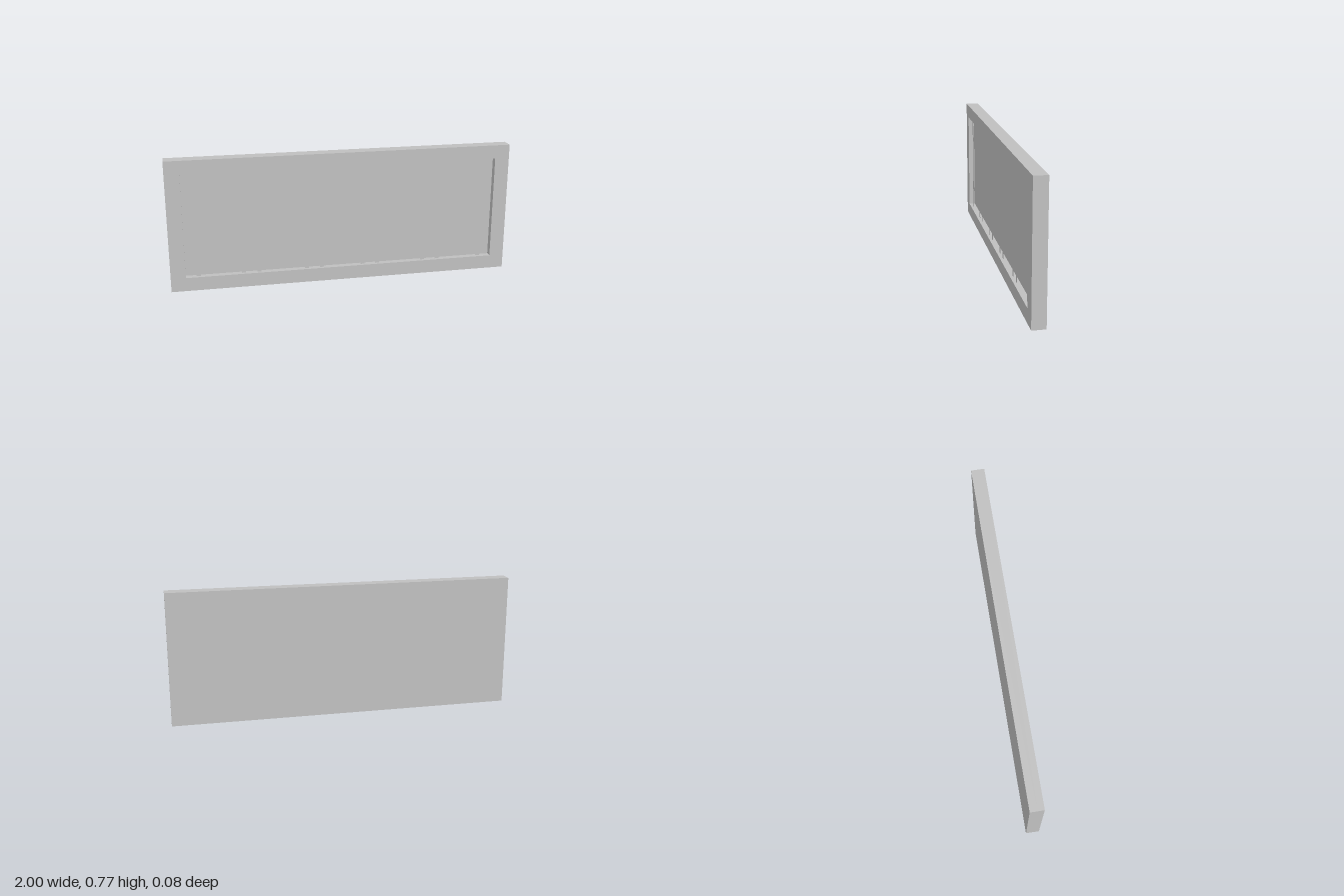
import * as THREE from 'three';

const W = 2, H = 0.77, D = 0.077;   // panel size
const OX = 0.915, OY = 0.305;       // half size of the recess
const FLOOR = 0.002, LATTICE = 0.021; // z of the recess floor and of the lattice

// Closed rectangle path
function rect(path, x0, x1, y0, y1) {
  path.moveTo(x0, y0);
  path.lineTo(x1, y0);
  path.lineTo(x1, y1);
  path.lineTo(x0, y1);
  path.closePath();
  return path;
}

// Lattice openings on the right-hand side, as [x0, x1] per row
const outer = [[0.225, 0.48], [0.505, 0.57], [0.595, 0.83]];
const inner = [[0.06, 0.11], [0.225, 0.29], [0.32, 0.385], [0.41, 0.48], [0.505, 0.57], [0.595, 0.74]];
const middle = [[0.06, 0.29], [0.32, 0.385], [0.41, 0.74]];

function latticeShape() {
  const shape = rect(new THREE.Shape(), -0.855, 0.855, -OY - 0.004, OY + 0.004);
  const hole = (x0, x1, y0, y1) => shape.holes.push(rect(new THREE.Path(), x0, x1, y0, y1));
  const mirrorX = (x0, x1, y0, y1) => {
    hole(x0, x1, y0, y1);
    hole(-x1, -x0, y0, y1);
  };
  const mirrorXY = (x0, x1, y0, y1) => {
    mirrorX(x0, x1, y0, y1);
    mirrorX(x0, x1, -y1, -y0);
  };
  outer.forEach(([a, b]) => mirrorXY(a, b, 0.185, OY));
  inner.forEach(([a, b]) => mirrorXY(a, b, 0.06, 0.16));
  middle.forEach(([a, b]) => mirrorX(a, b, -0.033, 0.033));
  mirrorXY(0.135, 0.2, 0.06, OY);       // tall slots from top and bottom
  mirrorX(0.765, 0.83, -0.16, 0.16);    // tall slots at the ends
  hole(-0.035, 0.035, -0.16, 0.16);     // centre slot
  hole(-0.11, 0.11, 0.185, OY);         // top and bottom centre openings
  hole(-0.11, 0.11, -OY, -0.185);
  return shape;
}

export function createModel() {
  const group = new THREE.Group();
  group.name = 'latticePanel';
  const grey = new THREE.MeshStandardMaterial({ color: 0xc0c0c0, side: THREE.DoubleSide });
  grey.name = 'light grey';
  const add = (name, geometry, z) => {
    const mesh = new THREE.Mesh(geometry, grey);
    mesh.name = name;
    mesh.position.set(0, H / 2, z);
    group.add(mesh);
  };

  // Solid back, whose front is the recess floor
  const backDepth = FLOOR + D / 2;
  add('backPanel', new THREE.BoxGeometry(W, H, backDepth), FLOOR - backDepth / 2);

  // Raised border around the recess
  const border = rect(new THREE.Shape(), -W / 2, W / 2, -H / 2, H / 2);
  border.holes.push(rect(new THREE.Path(), -OX, OX, -OY, OY));
  add('frame', new THREE.ExtrudeGeometry(border, { depth: D / 2 - FLOOR, bevelEnabled: false }), FLOOR);

  // Thin lattice sheet standing off the floor
  add('lattice', new THREE.ShapeGeometry(latticeShape()), LATTICE);

  return group;
}
